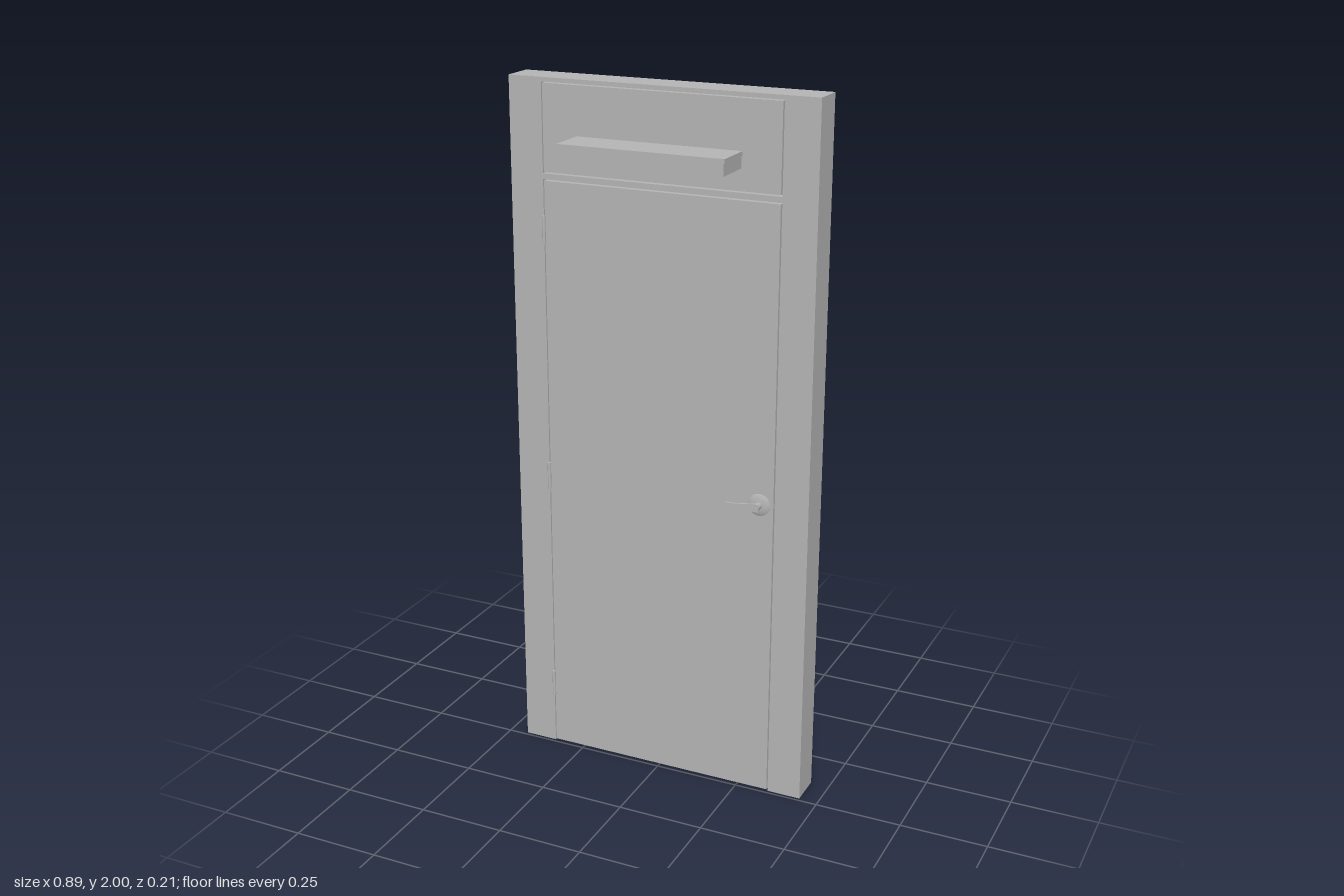
import * as THREE from 'three';

export function createModel() {
  const model = new THREE.Group();
  const grey = new THREE.MeshStandardMaterial({ color: 0xb4b4b4 });
  grey.name = 'plain grey';

  function add(name, geometry, parent = model) {
    const mesh = new THREE.Mesh(geometry, grey);
    mesh.name = name;
    parent.add(mesh);
    return mesh;
  }
  // Box given by its limits on each axis
  function block(name, x0, x1, y0, y1, z0, z1, parent = model) {
    const mesh = add(name, new THREE.BoxGeometry(x1 - x0, y1 - y0, z1 - z0), parent);
    mesh.position.set((x0 + x1) / 2, (y0 + y1) / 2, (z0 + z1) / 2);
    return mesh;
  }

  const back = -0.107, front = -0.01, doorBack = -0.045, inner = 0.347;

  // Frame: jambs with door stops, header and transom bar
  for (const s of [-1, 1]) {
    const [a, b] = s < 0 ? [-0.445, -inner] : [inner, 0.445];
    block('jamb', a, b, 0, 2, back, front);
    const [c, d] = s < 0 ? [-inner, -0.337] : [0.337, inner];
    block('doorStop', c, d, 0, 2, -0.06, doorBack - 0.001);
  }
  block('header', -inner, inner, 1.988, 2, back, front);
  block('transomBar', -inner, inner, 1.726, 1.742, back, front);

  // Door leaf and fixed panel above it
  block('doorLeaf', -0.344, 0.343, 0.004, 1.722, doorBack, front);
  block('transomPanel', -0.344, 0.343, 1.746, 1.985, doorBack, front);

  // Shallow box fixed over the door
  const closer = new THREE.Group();
  closer.name = 'overheadBox';
  model.add(closer);
  block('boxCover', -0.242, 0.235, 1.838, 1.85, front, 0.106, closer);
  block('boxBody', -0.24, 0.232, 1.805, 1.838, front, 0.105, closer);

  // Hinge knuckles
  for (const y of [0.195, 0.865, 1.585]) {
    const hinge = add('hinge', new THREE.CylinderGeometry(0.005, 0.005, 0.08, 12));
    hinge.position.set(-0.347, y, -0.008);
  }

  // Lever handle, built facing +z from the door surface
  function handle(name) {
    const g = new THREE.Group();
    g.name = name;
    const rose = add('rose', new THREE.LatheGeometry([
      new THREE.Vector2(0.032, 0), new THREE.Vector2(0.032, 0.002),
      new THREE.Vector2(0.018, 0.007), new THREE.Vector2(0, 0.007),
    ], 32), g);
    rose.rotation.x = Math.PI / 2;
    const stem = add('stem', new THREE.CylinderGeometry(0.01, 0.01, 0.024, 20), g);
    stem.rotation.x = Math.PI / 2;
    stem.position.z = 0.017;

    // Slim tapering lever with a gently dropped tip
    const s = new THREE.Shape();
    s.moveTo(0.006, 0.011);
    s.bezierCurveTo(-0.02, 0.014, -0.045, 0.001, -0.088, 0.004);
    s.quadraticCurveTo(-0.098, 0.003, -0.097, -0.007);
    s.quadraticCurveTo(-0.094, -0.011, -0.086, -0.007);
    s.bezierCurveTo(-0.05, -0.007, -0.03, -0.012, 0.006, -0.011);
    s.quadraticCurveTo(0.014, 0, 0.006, 0.011);
    const lever = add('lever', new THREE.ExtrudeGeometry(s, {
      depth: 0.005, bevelEnabled: false, curveSegments: 10,
    }), g);
    lever.position.z = 0.024;
    model.add(g);
    return g;
  }
  handle('frontHandle').position.set(0.302, 0.887, front);
  const rear = handle('backHandle');
  rear.position.set(0.302, 0.887, doorBack);
  // Half turn about the lever's own axis, so the lever still points to the hinges
  rear.rotation.x = Math.PI;

  return model;
}
